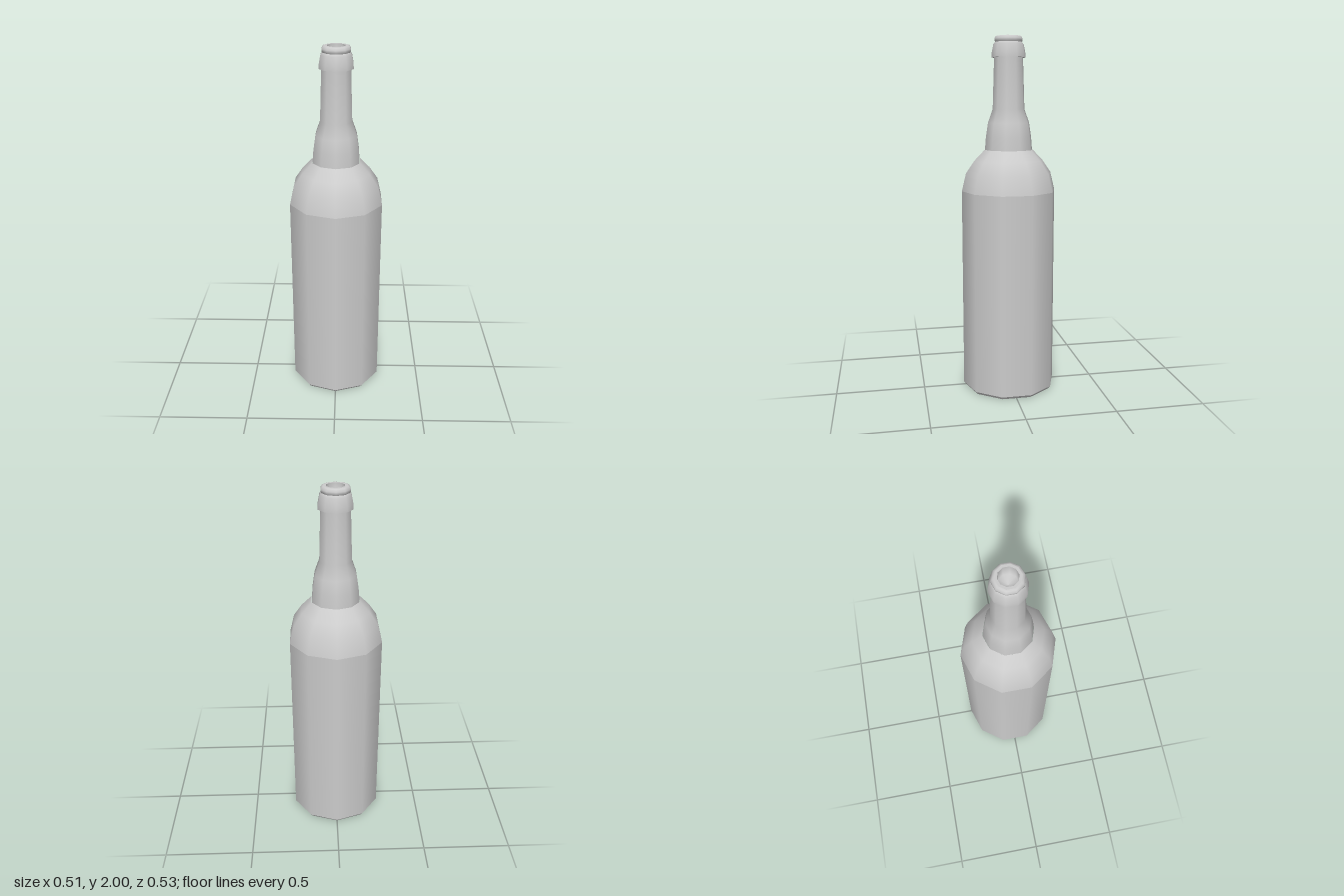
import * as THREE from 'three';

const SIDES = 10;

export function createModel() {
  const group = new THREE.Group();
  const material = new THREE.MeshStandardMaterial({ color: 0xcccccc });

  // Each section is turned from [radius, height] points; edges between sections stay sharp.
  const turn = (name, profile) => {
    const points = profile.map(([r, y]) => new THREE.Vector2(r, y));
    const mesh = new THREE.Mesh(new THREE.LatheGeometry(points, SIDES), material);
    mesh.name = name;
    group.add(mesh);
  };

  turn('base', [[0, 0], [0.256, 0]]);
  turn('baseBevel', [[0.256, 0], [0.267, 0.015]]);
  turn('body', [[0.267, 0.015], [0.267, 1.15]]);
  turn('shoulder', [[0.267, 1.15], [0.243, 1.25], [0.195, 1.32], [0.137, 1.38]]);
  turn('neck', [[0.135, 1.375], [0.129, 1.45], [0.117, 1.53], [0.09, 1.605], [0.081, 1.885]]);

  // Collar and lip around the mouth
  turn('collarUnderside', [[0.079, 1.885], [0.095, 1.885]]);
  turn('collar', [[0.095, 1.885], [0.094, 1.91], [0.085, 1.955], [0.075, 1.967]]);
  turn('lip', [[0.073, 1.965], [0.079, 1.975], [0.079, 1.985], [0.072, 1.998], [0.063, 2]]);
  turn('rim', [[0.063, 2], [0.05, 2]]);

  // Hollow inside the mouth
  turn('mouth', [[0.05, 2], [0.05, 1.93], [0, 1.92]]);

  return group;
}
